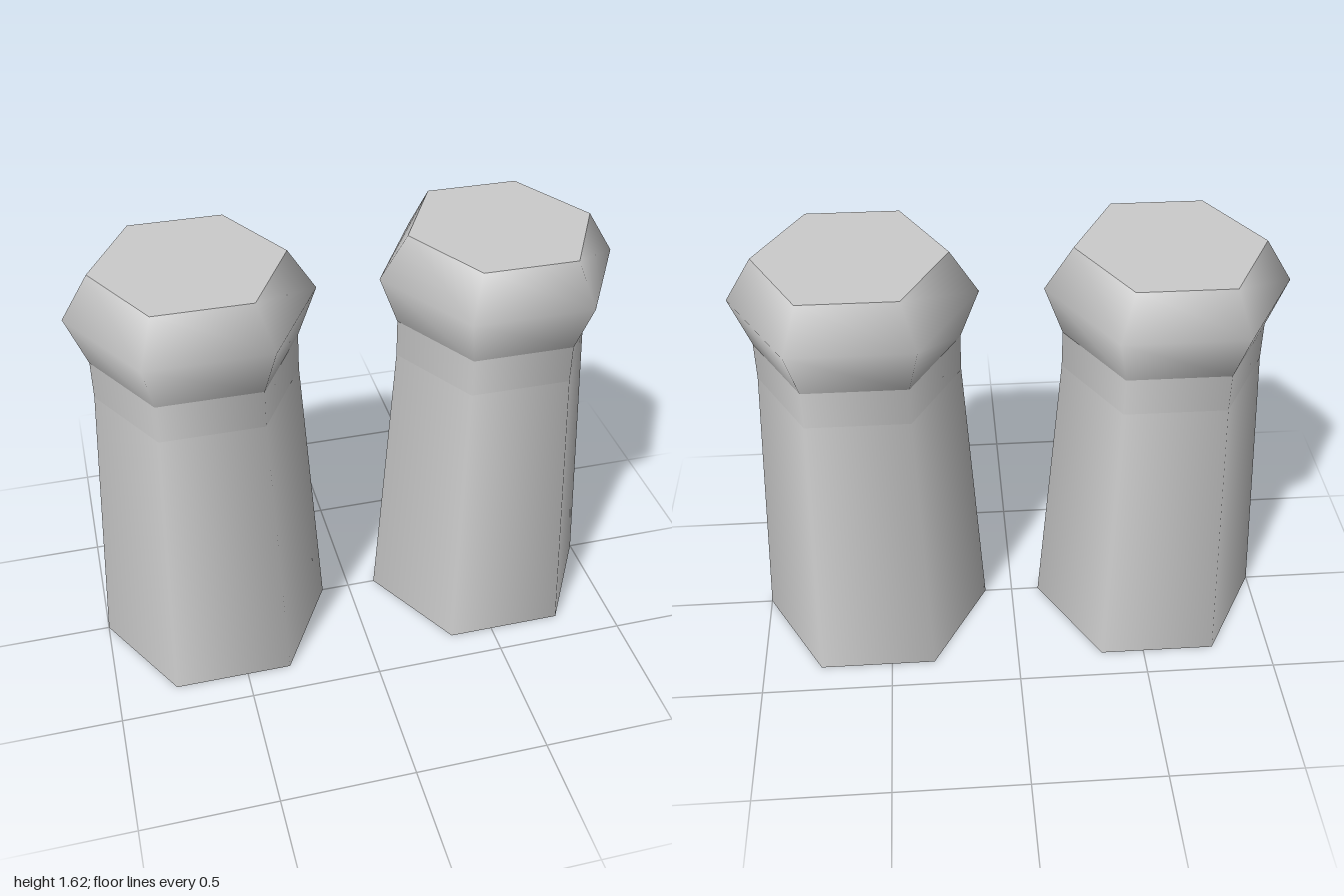
import * as THREE from 'three';

const material = new THREE.MeshStandardMaterial({ color: 0xcccccc, side: THREE.DoubleSide });
const SIDES = 6;
const TOP_Y = 1.62;
const TOP_R = 0.34;
const TOP_STRETCH = 1.07; // the top rim is slightly deeper than a regular hexagon

// Six-sided smooth band from [radius, height] points, corners on the x axis
function band(name, points) {
  const profile = points.map(([r, y]) => new THREE.Vector2(r, y));
  const geometry = new THREE.LatheGeometry(profile, SIDES, Math.PI / 2);
  const pos = geometry.attributes.position;
  for (let i = 0; i < pos.count; i++) {
    if (pos.getY(i) > TOP_Y - 0.01) pos.setZ(i, pos.getZ(i) * TOP_STRETCH);
  }
  const mesh = new THREE.Mesh(geometry, material);
  mesh.name = name;
  return mesh;
}

function createPost(name, x) {
  const post = new THREE.Group();
  post.name = name;
  post.position.x = x;

  // Tapered shaft, open underneath, then straight neck and bulging collar
  post.add(
    band('shaft', [[0.445, 0], [0.37, 1.13]]),
    band('neck', [[0.37, 1.13], [0.37, 1.275]]),
    band('collar', [[0.37, 1.275], [0.44, 1.46], [TOP_R, TOP_Y]])
  );

  // Flat top
  const capGeometry = new THREE.CircleGeometry(TOP_R, SIDES);
  capGeometry.rotateX(-Math.PI / 2);
  capGeometry.scale(1, 1, TOP_STRETCH);
  const cap = new THREE.Mesh(capGeometry, material);
  cap.name = 'topCap';
  cap.position.y = TOP_Y;
  post.add(cap);
  return post;
}

export function createModel() {
  const model = new THREE.Group();
  model.name = 'pairOfPosts';
  model.add(createPost('leftPost', 0.555), createPost('rightPost', -0.555));
  return model;
}
